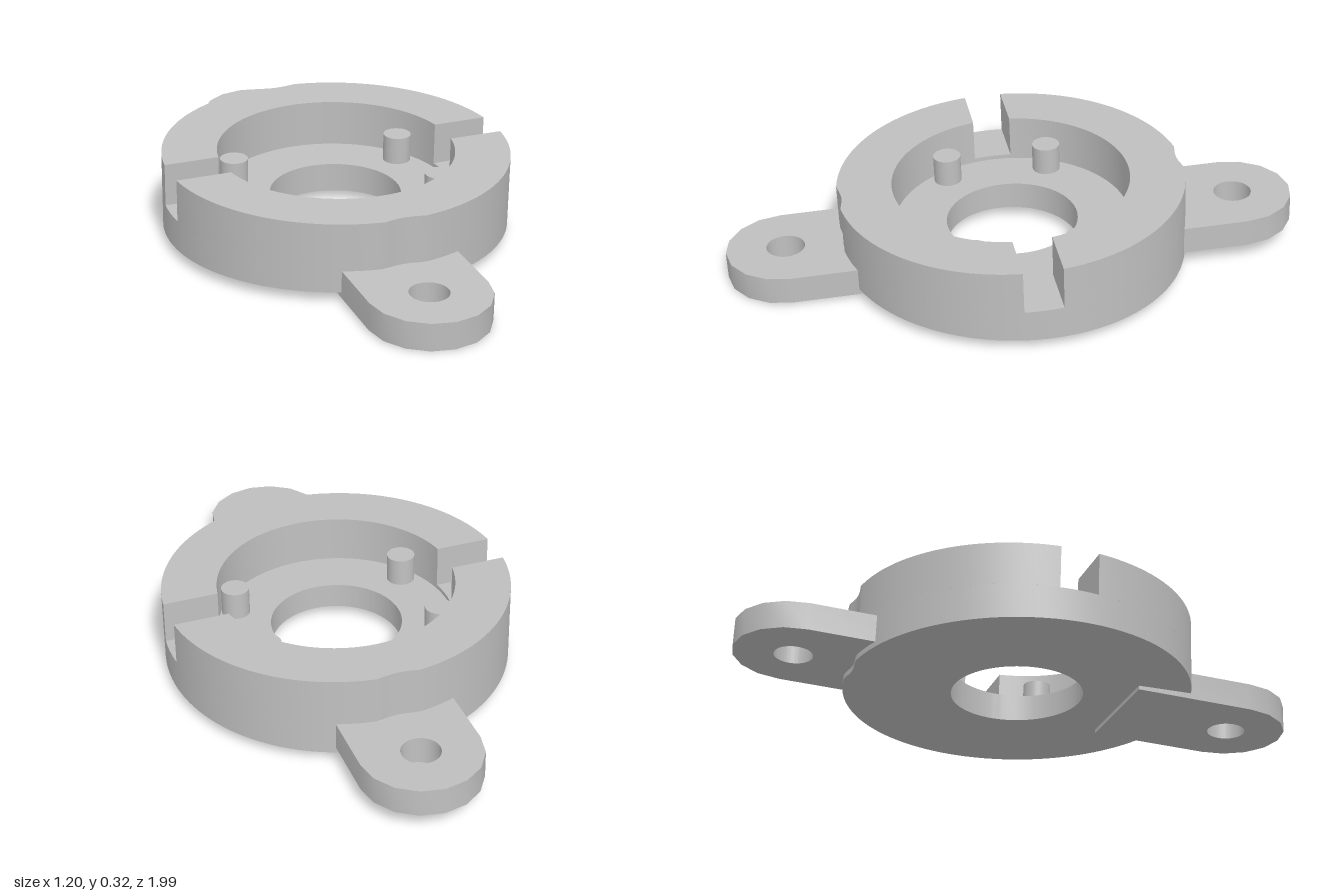
import * as THREE from 'three';
import { toCreasedNormals } from 'three/addons/utils/BufferGeometryUtils.js';

const TILT = 0.0342;      // lean of the whole part about x
const R = 0.6;            // outer radius of the ring
const CAVITY = 0.41;      // radius of the recess
const BORE = 0.228;       // radius of the centre hole
const LUG_Z = 0.79, LUG_R = 0.205;
const LUG_BOTTOM = 0.034, LUG_TOP = 0.13;
const FLOOR = 0.132, SLOT_FLOOR = 0.147, TOP = 0.297;

// outer radius at an angle from the x axis, relieved around each lug hole
function rimRadius(angle) {
  const s = Math.abs(Math.sin(angle)), c2 = 1 - s * s;
  const d = LUG_R * LUG_R - LUG_Z * LUG_Z * c2;
  return d > 0 ? Math.min(R, LUG_Z * s - Math.sqrt(d)) : R;
}

// extrude a plan outline upwards between two heights
function extrudeUp(shape, bottom, top, crease) {
  const g = new THREE.ExtrudeGeometry(shape, { depth: top - bottom, bevelEnabled: false, curveSegments: 40 });
  g.rotateX(-Math.PI / 2);
  g.translate(0, bottom, 0);
  return toCreasedNormals(g, crease);
}

// stepped base ring, underside cut level
function baseGeometry() {
  const profile = [
    [BORE, 0], [R, 0], [R, SLOT_FLOOR], [CAVITY, SLOT_FLOOR],
    [CAVITY, FLOOR], [BORE, FLOOR], [BORE, 0],
  ].map(([r, y]) => new THREE.Vector2(r, y));
  const g = new THREE.LatheGeometry(profile, 144);
  const p = g.attributes.position;
  for (let i = 0; i < p.count; i++) {
    let x = p.getX(i), y = p.getY(i), z = p.getZ(i);
    const r = Math.hypot(x, z);
    if (r > R - 0.01) {
      const k = rimRadius(Math.atan2(z, x)) / r;
      x *= k;
      z *= k;
    }
    if (y < 0.01) y = 0.035 + TILT * z;
    p.setXYZ(i, x, y, z);
  }
  return toCreasedNormals(g, 0.35);
}

// half of the raised wall, between the two slots
function wallGeometry() {
  const half = 0.066, steps = 72, pts = [];
  const a = Math.asin(half / R), b = Math.asin(half / CAVITY);
  for (let i = 0; i <= steps; i++) {
    const t = a + (Math.PI - 2 * a) * i / steps, r = rimRadius(t);
    pts.push(new THREE.Vector2(r * Math.cos(t), r * Math.sin(t)));
  }
  for (let i = steps; i >= 0; i--) {
    const t = b + (Math.PI - 2 * b) * i / steps;
    pts.push(new THREE.Vector2(CAVITY * Math.cos(t), CAVITY * Math.sin(t)));
  }
  return extrudeUp(new THREE.Shape(pts), SLOT_FLOOR, TOP, 0.35);
}

// mounting lug with a faceted round end and a screw hole
function lugGeometry() {
  const pts = [new THREE.Vector2(-LUG_R, 0.37), new THREE.Vector2(LUG_R, 0.37)];
  for (let i = 0; i <= 8; i++) {
    const t = Math.PI * i / 8;
    pts.push(new THREE.Vector2(LUG_R * Math.cos(t), LUG_Z + LUG_R * Math.sin(t)));
  }
  const shape = new THREE.Shape(pts);
  shape.holes.push(new THREE.Path().absarc(0, LUG_Z, 0.066, 0, Math.PI * 2, true));
  return extrudeUp(shape, LUG_BOTTOM, LUG_TOP, 0.5);
}

export function createModel() {
  const model = new THREE.Group();
  model.name = 'slottedMountingRing';
  const grey = new THREE.MeshStandardMaterial({ color: 0xbfbfbf });
  grey.name = 'light grey';

  const body = new THREE.Group();
  body.name = 'tiltedBody';
  body.rotation.x = TILT;
  model.add(body);

  const add = (geometry, name) => {
    const mesh = new THREE.Mesh(geometry, grey);
    mesh.name = name;
    body.add(mesh);
    return mesh;
  };

  add(baseGeometry(), 'baseRing');

  // back and front copies
  const wall = wallGeometry(), lug = lugGeometry();
  ['back', 'front'].forEach((side, i) => {
    add(wall, side + 'Wall').rotation.y = i * Math.PI;
    add(lug, side + 'Lug').rotation.y = i * Math.PI;
  });

  // four locating pins standing on the recess floor
  const pinTop = 0.23, pinBottom = 0.1;
  const pin = new THREE.CylinderGeometry(0.049, 0.049, pinTop - pinBottom, 32);
  for (const x of [-0.31, 0.31]) {
    for (const z of [-0.18, 0.18]) {
      add(pin, 'pin').position.set(x, (pinTop + pinBottom) / 2, z);
    }
  }
  return model;
}
